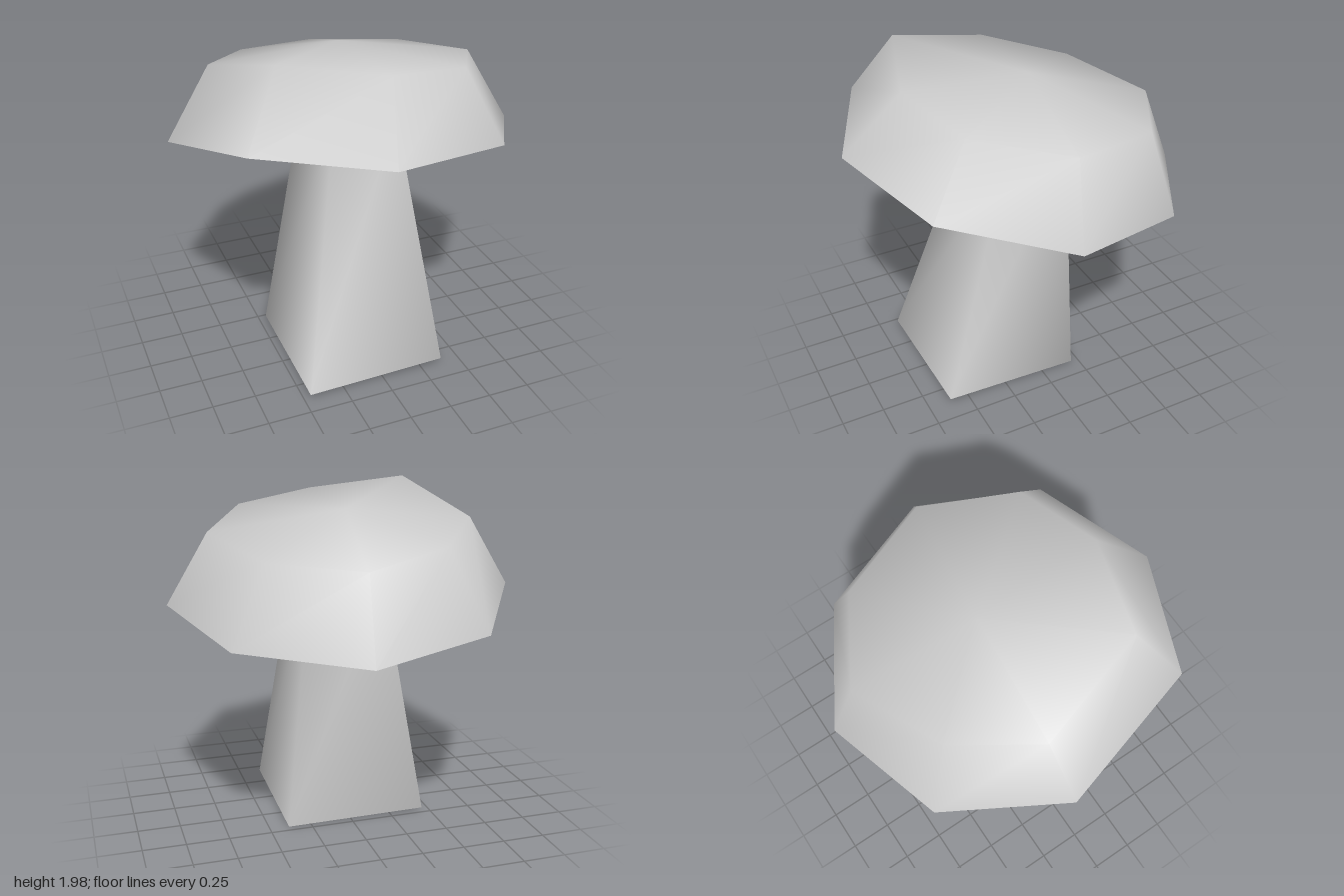
import * as THREE from 'three';

// Smooth wall between two rings (clockwise seen from above), closed by a fan to a peak.
function shell(lower, upper, peak) {
  const n = lower.length;
  const index = [];
  for (let i = 0; i < n; i++) {
    const j = (i + 1) % n;
    index.push(i, n + i, j, j, n + i, n + j);
    index.push(2 * n, n + j, n + i);
  }
  return fromPoints([...lower, ...upper, peak], index);
}

// Downward-facing fan with its own normals, so the rim stays sharp.
function underside(ring, centre) {
  const n = ring.length;
  const index = [];
  for (let i = 0; i < n; i++) index.push(n, i, (i + 1) % n);
  return fromPoints([...ring, centre], index);
}

function fromPoints(points, index) {
  const geometry = new THREE.BufferGeometry();
  geometry.setAttribute('position', new THREE.Float32BufferAttribute(points.flat(), 3));
  geometry.setIndex(index);
  geometry.computeVertexNormals();
  return geometry;
}

export function createModel() {
  const model = new THREE.Group();
  model.name = 'mushroom';
  const grey = new THREE.MeshStandardMaterial({ color: 0xcccccc });
  grey.name = 'light grey';

  const add = (name, geometry) => {
    const mesh = new THREE.Mesh(geometry, grey);
    mesh.name = name;
    model.add(mesh);
  };

  // Cap: tilted eight-sided rim, a smaller shoulder ring and a low peak
  const rim = [
    [0.12, 1.17, -0.98], [0.77, 1.21, -0.59], [1.0, 1.32, 0.12], [0.61, 1.46, 0.76],
    [-0.11, 1.535, 0.98], [-0.78, 1.6, 0.69], [-1.0, 1.38, -0.13], [-0.6, 1.24, -0.77],
  ];
  const shoulder = [
    [0.1, 1.63, -0.81], [0.58, 1.655, -0.53], [0.77, 1.74, 0.03], [0.49, 1.83, 0.52],
    [0.0, 1.9, 0.66], [-0.56, 1.975, 0.49], [-0.74, 1.79, -0.15], [-0.43, 1.7, -0.58],
  ];
  add('cap', shell(rim, shoulder, [0, 1.855, -0.09]));
  add('capUnderside', underside(rim, [0, 1.36, 0]));

  // Stem: leaning four-sided taper that ends inside the cap
  const foot = [
    [-0.455, 0.015, -0.22], [0.385, 0, -0.205], [0.38, 0.03, 0.62], [-0.46, 0.02, 0.635],
  ];
  const neck = [
    [-0.19, 1.45, -0.205], [0.25, 1.45, -0.2], [0.25, 1.45, 0.185], [-0.16, 1.45, 0.23],
  ];
  add('stem', shell(foot, neck, [0.03, 1.46, 0]));
  add('stemBase', underside(foot, [-0.04, 0.016, 0.21]));

  return model;
}
